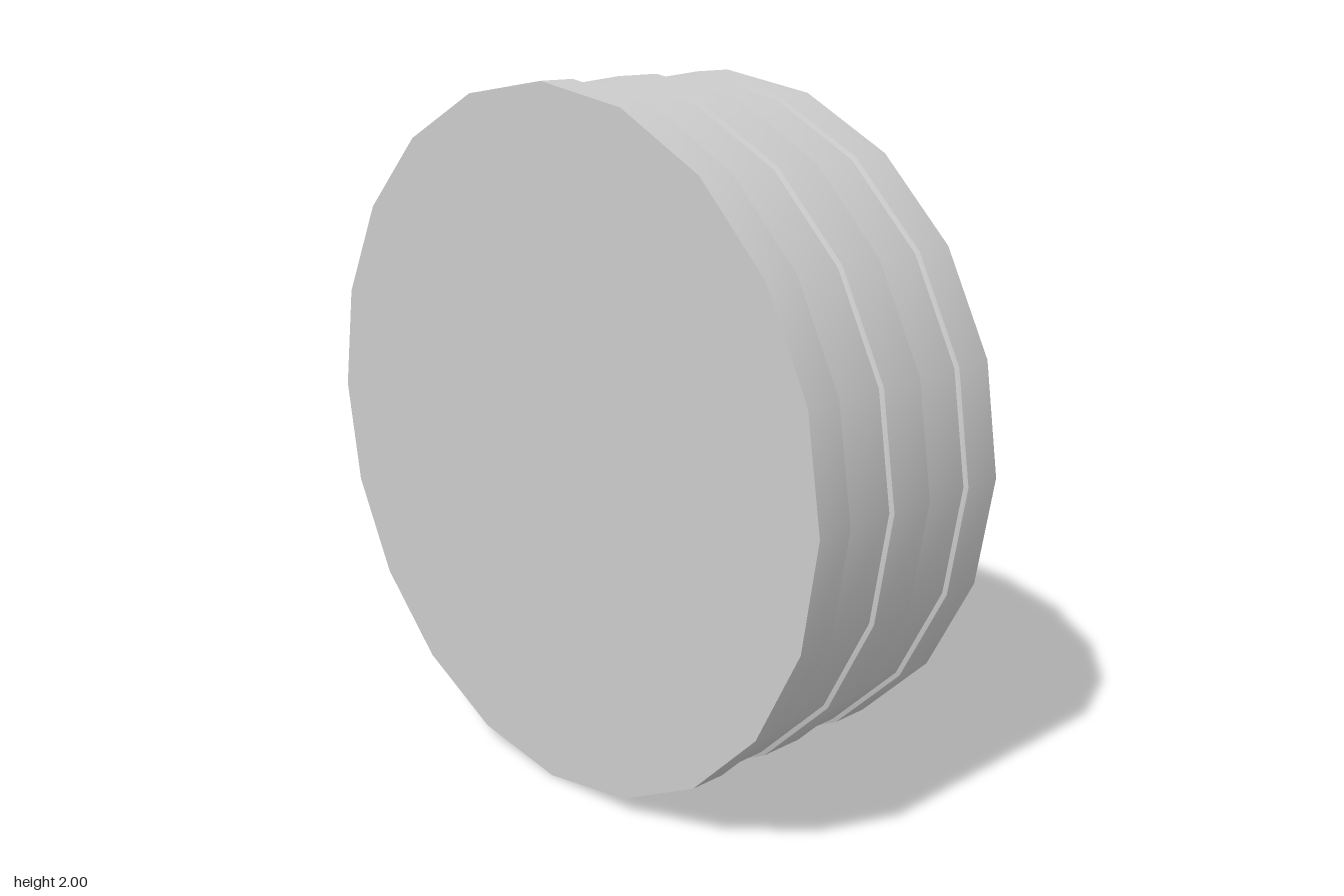
import * as THREE from 'three';
import { toCreasedNormals } from 'three/addons/utils/BufferGeometryUtils.js';

const material = new THREE.MeshStandardMaterial({ color: 0xcccccc });
const SIDES = 20;
const SPOKES = 8;

function addPart(parent, name, geometry) {
  const mesh = new THREE.Mesh(toCreasedNormals(geometry, 0.5), material);
  mesh.name = name;
  parent.add(mesh);
  return mesh;
}

// Revolves [radius, x] pairs around the wheel's axle (x axis)
function revolve(profile) {
  const points = profile.map(([r, x]) => new THREE.Vector2(r, x));
  return new THREE.LatheGeometry(points, SIDES).rotateZ(-Math.PI / 2);
}

// A spoke that flares toward the rim, running up from the hub
function spokeGeometry(front, thickness) {
  const shape = new THREE.Shape();
  shape.moveTo(-0.04, 0.12);
  shape.lineTo(0.04, 0.12);
  shape.lineTo(0.04, 0.2);
  shape.bezierCurveTo(0.04, 0.44, 0.06, 0.57, 0.165, 0.715);
  shape.lineTo(0, 0.745);
  shape.lineTo(-0.165, 0.715);
  shape.bezierCurveTo(-0.06, 0.57, -0.04, 0.44, -0.04, 0.2);
  const geometry = new THREE.ExtrudeGeometry(shape, {
    depth: thickness, bevelEnabled: false, curveSegments: 10,
  });
  return geometry.rotateY(Math.PI / 2).translate(front - thickness, 0, 0);
}

export function createModel() {
  const model = new THREE.Group();
  model.name = 'wheel';
  const wheel = new THREE.Group();
  wheel.name = 'wheelAssembly';
  wheel.position.y = 1;
  model.add(wheel);

  // Tyre: closed back, two shallow tread grooves, chamfered outer edge
  addPart(wheel, 'tyre', revolve([
    [0, -0.365], [1, -0.365],
    [1, -0.255], [0.988, -0.25], [0.988, -0.095], [1, -0.09],
    [1, 0.05], [0.988, 0.055], [0.988, 0.205], [1, 0.21],
    [1, 0.33], [0.965, 0.365], [0.775, 0.365], [0.765, 0.34],
  ]));

  // Rim: lip, tapered barrel and inner floor
  addPart(wheel, 'rim', revolve([
    [0.765, 0.34], [0.755, 0.345], [0.745, 0.32], [0.65, 0.12], [0, 0.12],
  ]));

  // Hub behind the spokes and the raised centre cap
  addPart(wheel, 'hub', revolve([
    [0.175, 0.12], [0.175, 0.21], [0.155, 0.3], [0, 0.3],
  ]));
  addPart(wheel, 'centreCap', revolve([
    [0, 0.29], [0.175, 0.29], [0.175, 0.335], [0.163, 0.35], [0, 0.35],
  ]));

  // Spokes
  for (let i = 0; i < SPOKES; i++) {
    const spoke = addPart(wheel, 'spoke', spokeGeometry(0.315, 0.12));
    spoke.rotation.x = (i / SPOKES) * Math.PI * 2;
  }
  return model;
}
